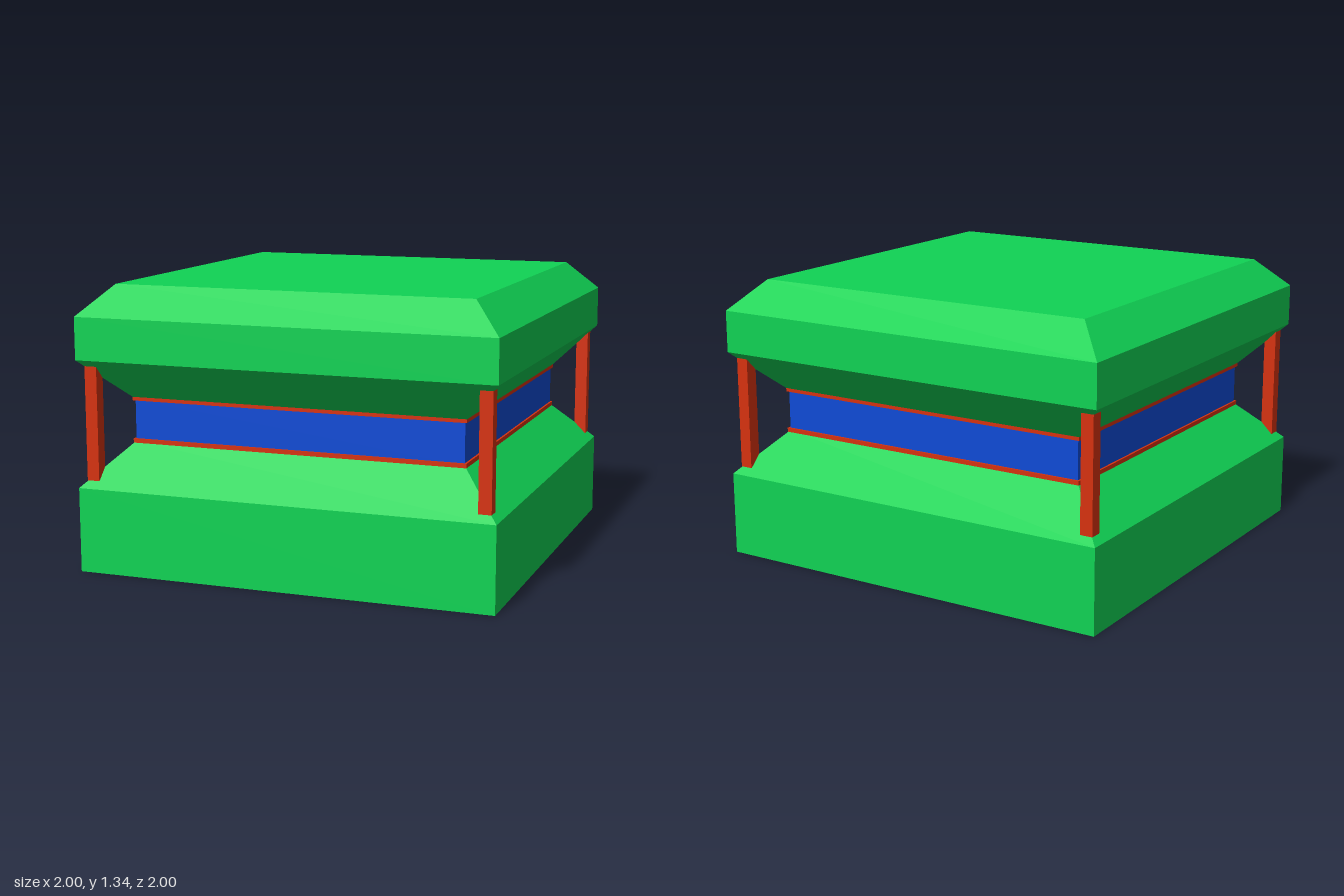
import * as THREE from 'three';

const paint = (color) => new THREE.MeshStandardMaterial({ color, flatShading: true, side: THREE.DoubleSide });

// Open square shell swept through [halfWidth, y] sections, bottom to top
function squareShell(name, sections, material) {
  const points = sections.map(([half, y]) => new THREE.Vector2(half * Math.SQRT2, y));
  const geometry = new THREE.LatheGeometry(points, 4, Math.PI / 4).toNonIndexed();
  geometry.computeVertexNormals();
  const mesh = new THREE.Mesh(geometry, material);
  mesh.name = name;
  return mesh;
}

function box(name, size, position, material) {
  const mesh = new THREE.Mesh(new THREE.BoxGeometry(...size), material);
  mesh.position.set(...position);
  mesh.name = name;
  return mesh;
}

export function createModel() {
  const model = new THREE.Group();
  model.name = 'pavilion';
  const green = paint(0x10d354);
  const red = paint(0xd6320f);
  const blue = paint(0x0f4bd6);

  // Hollow base, open underneath, sloping in to the window sill
  model.add(squareShell('base', [[1, 0], [1, 0.4], [0.8, 0.6]], green));

  // Window band
  model.add(squareShell('windowBand', [[0.8, 0.6], [0.8, 0.8]], blue));

  // Overhanging upper storey with bevelled roof edge
  model.add(squareShell('upperBody', [[0.8, 0.8], [1, 1], [1, 1.2], [0.858, 1.342]], green));
  const roof = new THREE.Mesh(new THREE.PlaneGeometry(1.716, 1.716), green);
  roof.rotation.x = -Math.PI / 2;
  roof.position.y = 1.342;
  roof.name = 'roofTop';
  model.add(roof);

  // Trim rails along the lower and upper window edges
  for (const y of [0.602, 0.803]) {
    for (const s of [-1, 1]) {
      model.add(box('frontBackTrim', [1.62, 0.02, 0.02], [0, y, s * 0.8], red));
      model.add(box('sideTrim', [0.02, 0.02, 1.58], [s * 0.8, y, 0], red));
    }
  }

  // Corner posts between the base and the overhang
  for (const x of [-0.94, 0.94]) {
    for (const z of [-0.94, 0.94]) {
      model.add(box('cornerPost', [0.06, 0.54, 0.06], [x, 0.703, z], red));
    }
  }

  return model;
}
